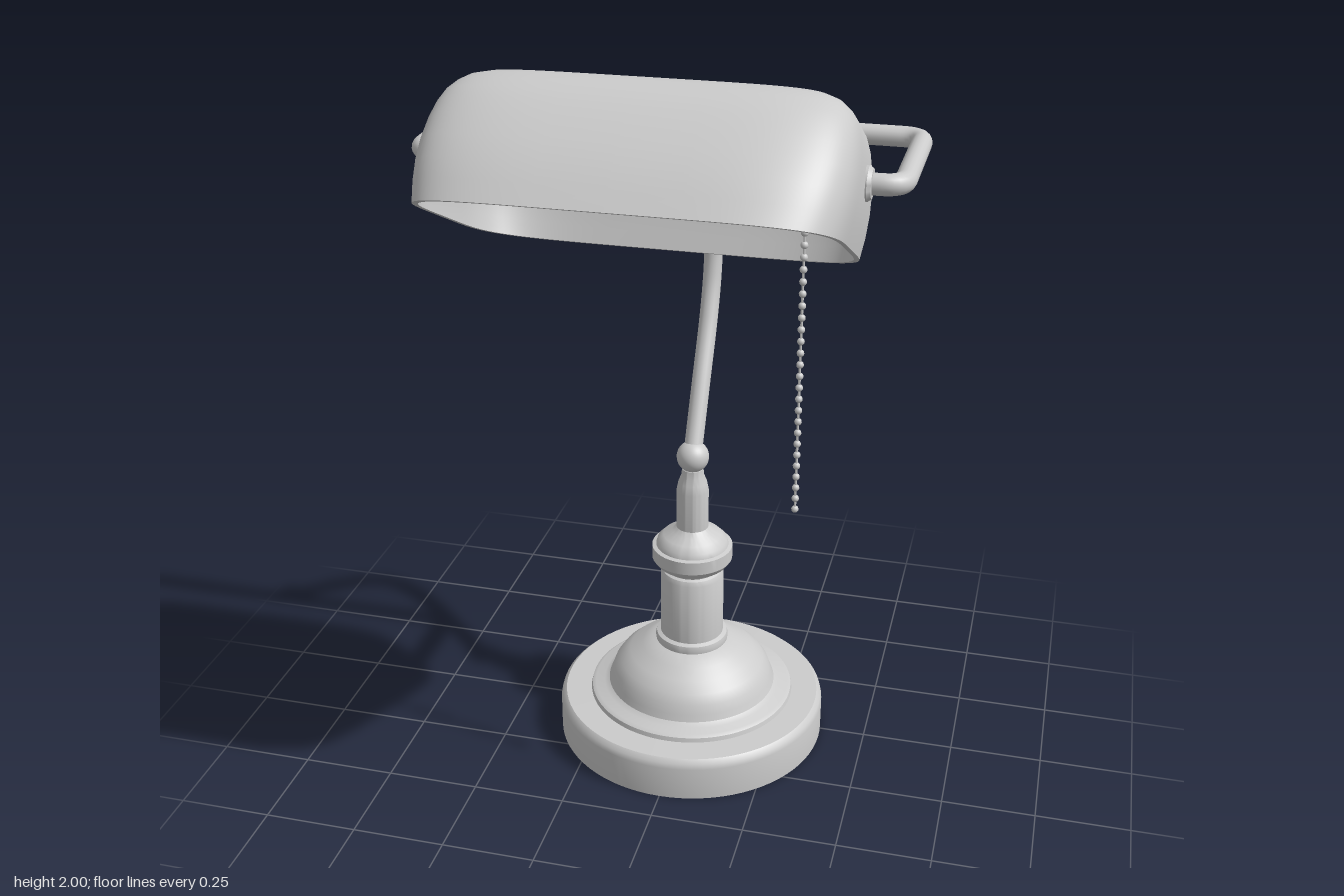
import * as THREE from 'three';
import { toCreasedNormals } from 'three/addons/utils/BufferGeometryUtils.js';

const V = (x, y, z) => new THREE.Vector3(x, y, z);
const material = new THREE.MeshStandardMaterial({ color: 0xcccccc });
const POST_Z = -0.21;

function add(parent, name, geometry, x = 0, y = 0, z = 0) {
  const mesh = new THREE.Mesh(geometry, material);
  mesh.name = name;
  mesh.position.set(x, y, z);
  parent.add(mesh);
  return mesh;
}

function lathe(points, segments = 64) {
  const profile = points.map(([r, y]) => new THREE.Vector2(r, y));
  return toCreasedNormals(new THREE.LatheGeometry(profile, segments), 0.6);
}

// Path of straight runs joined by rounded corners
function roundedPath(points, radius) {
  const path = new THREE.CurvePath();
  let from = points[0];
  for (let i = 1; i < points.length - 1; i++) {
    const p = points[i];
    const a = p.clone().add(points[i - 1].clone().sub(p).setLength(radius));
    const b = p.clone().add(points[i + 1].clone().sub(p).setLength(radius));
    path.add(new THREE.LineCurve3(from, a));
    path.add(new THREE.QuadraticBezierCurve3(a, p, b));
    from = b;
  }
  path.add(new THREE.LineCurve3(from, points[points.length - 1]));
  return path;
}

// Hollow shade lofted through superellipse rings: [height, back, front, halfWidth]
function shadeGeometry() {
  const outer = [
    [0, -0.325, 0.325, 0.473], [0.05, -0.322, 0.311, 0.481], [0.1, -0.318, 0.295, 0.485],
    [0.15, -0.31, 0.272, 0.485], [0.2, -0.302, 0.245, 0.48], [0.24, -0.293, 0.219, 0.472],
    [0.27, -0.282, 0.195, 0.461], [0.295, -0.266, 0.165, 0.445], [0.313, -0.247, 0.138, 0.425],
    [0.327, -0.22, 0.1, 0.395], [0.335, -0.19, 0.055, 0.36], [0.338, -0.15, 0.01, 0.31],
    [0.339, -0.07, -0.07, 0],
  ];
  const t = 0.012;
  const inner = outer.map(([h, b, f, w]) =>
    w ? [Math.max(0, h - t), b + t, f - t, w - t] : [h - t, b, f, 0]).reverse();
  const rim = outer[0];
  const rows = [...inner, rim, ...outer];
  const N = 96, pos = [], idx = [];
  const sp = (v) => Math.sign(v) * Math.abs(v) ** 0.4;
  rows.forEach(([h, b, f, w]) => {
    for (let i = 0; i < N; i++) {
      const a = (i / N) * Math.PI * 2;
      pos.push(w * sp(Math.cos(a)), h, (b + f) / 2 + ((f - b) / 2) * sp(Math.sin(a)));
    }
  });
  for (let j = 0; j < rows.length - 1; j++) {
    for (let i = 0; i < N; i++) {
      const a = j * N + i, b = j * N + ((i + 1) % N);
      idx.push(a, a + N, b, b, a + N, b + N);
    }
  }
  const g = new THREE.BufferGeometry();
  g.setAttribute('position', new THREE.Float32BufferAttribute(pos, 3));
  g.setIndex(idx);
  return toCreasedNormals(g, 0.9);
}

export function createModel() {
  const lamp = new THREE.Group();
  lamp.name = 'deskLamp';

  // Stepped round foot
  add(lamp, 'base', lathe([
    [0, 0], [0.375, 0], [0.375, 0.095], [0.371, 0.11], [0.36, 0.12], [0.288, 0.122],
    [0.285, 0.134], [0.275, 0.14], [0.25, 0.143], [0.236, 0.152], [0.229, 0.17],
    [0.22, 0.195], [0.203, 0.22], [0.175, 0.245], [0.14, 0.265], [0.112, 0.285], [0, 0.288],
  ], 80), 0, 0, POST_Z);

  // Turned column with collar, neck and ball finial
  add(lamp, 'column', lathe([
    [0.1, 0.28], [0.102, 0.295], [0.099, 0.307], [0.088, 0.312], [0.088, 0.495], [0.082, 0.508],
    [0.074, 0.512], [0.078, 0.52], [0.098, 0.53], [0.111, 0.548], [0.111, 0.585], [0.1, 0.588],
    [0.096, 0.602], [0.08, 0.618], [0.056, 0.63], [0.044, 0.643], [0.044, 0.755],
    [0.039, 0.78], [0.031, 0.8], [0.029, 0.82], [0, 0.825],
  ]), 0, 0, POST_Z);
  add(lamp, 'columnBall', new THREE.SphereGeometry(0.044, 32, 20), 0, 0.855, POST_Z);

  // Curved stem
  const stem = new THREE.CatmullRomCurve3([
    V(0, 0.86, -0.205), V(0, 1.03, -0.297), V(0, 1.19, -0.384), V(0, 1.3, -0.425),
    V(0, 1.41, -0.437), V(0, 1.51, -0.408), V(0, 1.61, -0.342), V(0, 1.69, -0.272), V(0, 1.775, -0.2),
  ]);
  add(lamp, 'stem', new THREE.TubeGeometry(stem, 80, 0.025, 20));

  // Joint between stem and yoke
  add(lamp, 'jointBall', new THREE.SphereGeometry(0.038, 28, 18), 0, 1.78, -0.192);
  const collar = add(lamp, 'jointCollar', lathe([
    [0.025, -0.02], [0.04, -0.02], [0.045, -0.012], [0.045, 0.008], [0.038, 0.016], [0.025, 0.018],
  ], 32), 0, 1.755, -0.217);
  collar.rotation.x = 0.7;

  // Yoke holding both ends of the shade
  const yoke = roundedPath([
    V(-0.475, 1.78, 0.2), V(-0.564, 1.78, 0.2), V(-0.564, 1.78, -0.187),
    V(0.564, 1.78, -0.187), V(0.564, 1.78, 0.2), V(0.475, 1.78, 0.2),
  ], 0.05);
  add(lamp, 'yoke', new THREE.TubeGeometry(yoke, 220, 0.025, 18));
  for (const s of [-1, 1]) {
    const washer = add(lamp, s > 0 ? 'leftPivot' : 'rightPivot', lathe([
      [0, -0.012], [0.039, -0.012], [0.04, 0.002], [0.034, 0.011], [0, 0.012],
    ], 32), s * 0.486, 1.78, 0.2);
    washer.rotation.z = -s * Math.PI / 2;
  }

  // Tilted shade
  const shade = add(lamp, 'shade', shadeGeometry(), 0, 1.6575, 0.2975);
  shade.rotation.x = -0.453;

  // Socket inside the left end of the shade
  const socket = add(lamp, 'socket', lathe([
    [0, 0], [0.07, 0], [0.07, 0.045], [0.055, 0.05], [0.055, 0.165], [0.042, 0.165], [0.042, 0.06], [0, 0.06],
  ], 36), 0.474, 1.78, 0.2);
  socket.rotation.z = Math.PI / 2;

  // Beaded pull chain
  const chain = new THREE.Group();
  chain.name = 'pullChain';
  chain.position.set(0.355, 0, 0.222);
  lamp.add(chain);
  add(chain, 'cord', new THREE.CylinderGeometry(0.003, 0.003, 0.77, 8), 0, 1.355, 0);
  const bead = new THREE.SphereGeometry(0.009, 12, 8);
  for (let i = 0; i < 27; i++) add(chain, 'bead', bead, 0, 0.968 + i * 0.029, 0);

  return lamp;
}
